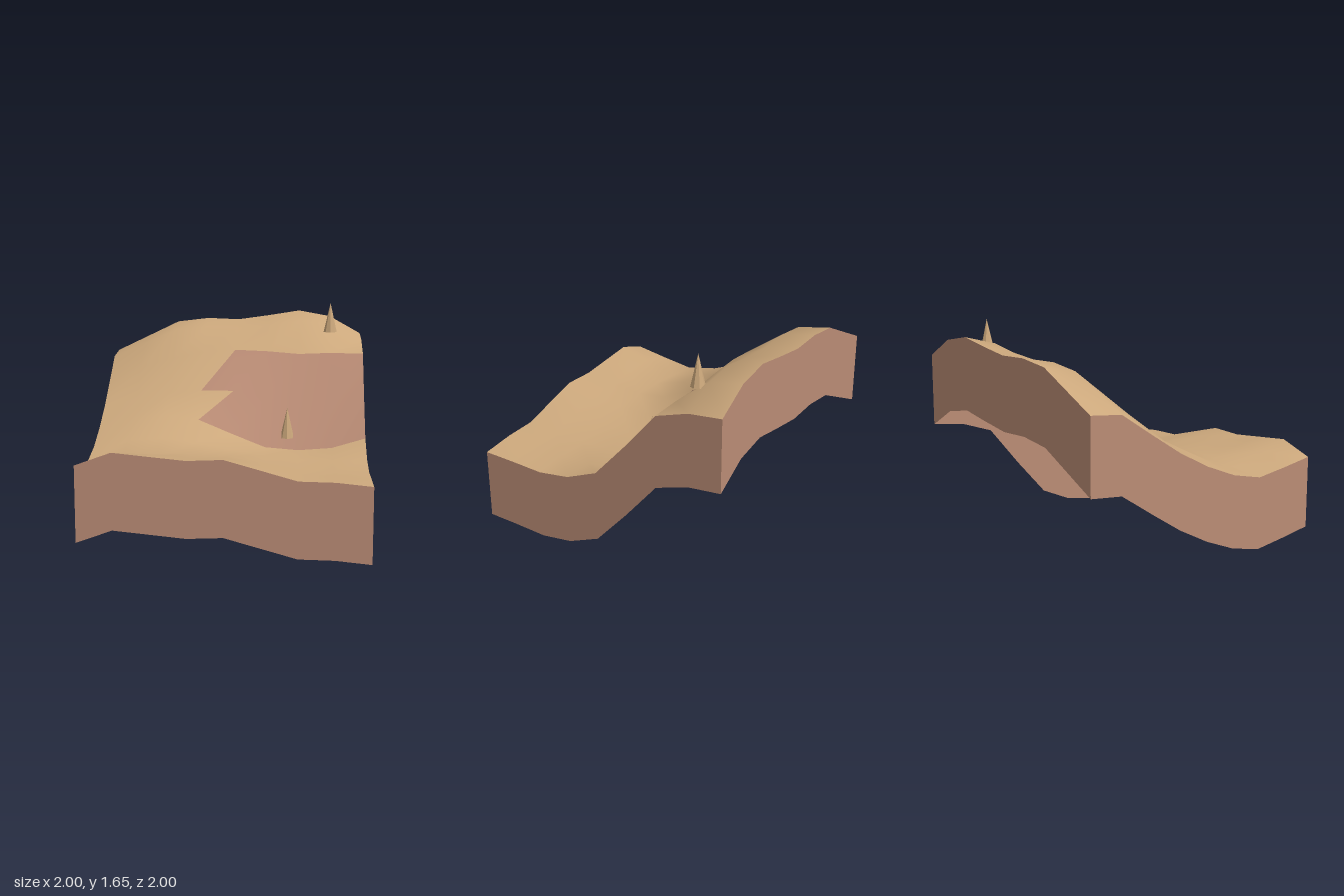
import * as THREE from 'three';

const N = 8, STEP = 0.25, DEPTH = 0.535;

// Ground heights: rows run from back (z = -1) to front (z = 1), columns from x = -1 to x = 1
const HEIGHTS = [
  [1.23, 1.35, 1.47, 1.50, 1.49, 1.525, 1.565, 1.52, 1.38],
  [1.205, 1.31, 1.42, 1.45, 1.44, 1.46, 1.50, 1.47, 1.35],
  [1.04, 1.14, 1.22, 1.27, 1.29, 1.28, 1.26, 1.27, 1.265],
  [0.88, 0.93, 0.98, 1.00, 1.00, 0.95, 0.92, 0.93, 0.965],
  [0.75, 0.82, 0.85, 0.815, 0.71, 0.61, 0.59, 0.61, 0.685],
  [0.65, 0.70, 0.72, 0.69, 0.64, 0.60, 0.57, 0.565, 0.575],
  [0.595, 0.62, 0.645, 0.655, 0.64, 0.60, 0.56, 0.545, 0.535],
  [0.63, 0.705, 0.70, 0.68, 0.68, 0.625, 0.575, 0.56, 0.545],
  [0.67, 0.76, 0.735, 0.71, 0.72, 0.65, 0.58, 0.575, 0.55],
];

const point = (i, j, drop = 0) => [-1 + i * STEP, HEIGHTS[j][i] - drop, -1 + j * STEP];

function meshFrom(name, positions, index, material) {
  const geometry = new THREE.BufferGeometry();
  geometry.setAttribute('position', new THREE.Float32BufferAttribute(positions, 3));
  geometry.setIndex(index);
  geometry.computeVertexNormals();
  const mesh = new THREE.Mesh(geometry, material);
  mesh.name = name;
  return mesh;
}

export function createModel() {
  const group = new THREE.Group();
  const material = (name, color) => {
    const m = new THREE.MeshStandardMaterial({ color, side: THREE.DoubleSide });
    m.name = name;
    return m;
  };
  const sand = material('sand', 0xcca87c);
  const clay = material('clay', 0xba8c75);
  const spikeSand = sand.clone();
  spikeSand.name = 'sand';
  spikeSand.flatShading = true;

  // Rolling ground, with the steep triangles sorted into a clay slope
  const positions = [], ground = [], slope = [];
  for (let j = 0; j <= N; j++) for (let i = 0; i <= N; i++) positions.push(...point(i, j));
  for (let j = 0; j < N; j++) {
    for (let i = 0; i < N; i++) {
      const a = j * (N + 1) + i, b = a + N + 1, c = b + 1, d = a + 1;
      const steepRow = j === 2 || j === 3;
      (steepRow && i >= 4 ? slope : ground).push(a, b, d);
      (steepRow && i >= 3 ? slope : ground).push(b, c, d);
    }
  }
  group.add(meshFrom('ground', positions, ground, sand));
  group.add(meshFrom('claySlope', positions, slope, clay));

  // Side walls that follow the ground's edge, open underneath
  const sides = {
    frontWall: (k) => [k, N],
    rightWall: (k) => [N, N - k],
    backWall: (k) => [N - k, 0],
    leftWall: (k) => [0, k],
  };
  for (const [name, edge] of Object.entries(sides)) {
    const wall = [], index = [];
    for (let k = 0; k <= N; k++) {
      wall.push(...point(...edge(k)), ...point(...edge(k), DEPTH));
      if (k < N) {
        const t = k * 2;
        index.push(t, t + 1, t + 2, t + 1, t + 3, t + 2);
      }
    }
    group.add(meshFrom(name, wall, index, clay));
  }

  // Two small spikes
  for (const [x, y, z] of [[0.415, 0.67, -0.08], [0.747, 1.42, -0.665]]) {
    const spike = new THREE.Mesh(new THREE.ConeGeometry(0.052, 0.23, 8, 1, true), spikeSand);
    spike.name = 'spike';
    spike.position.set(x, y + 0.115, z);
    group.add(spike);
  }
  return group;
}
